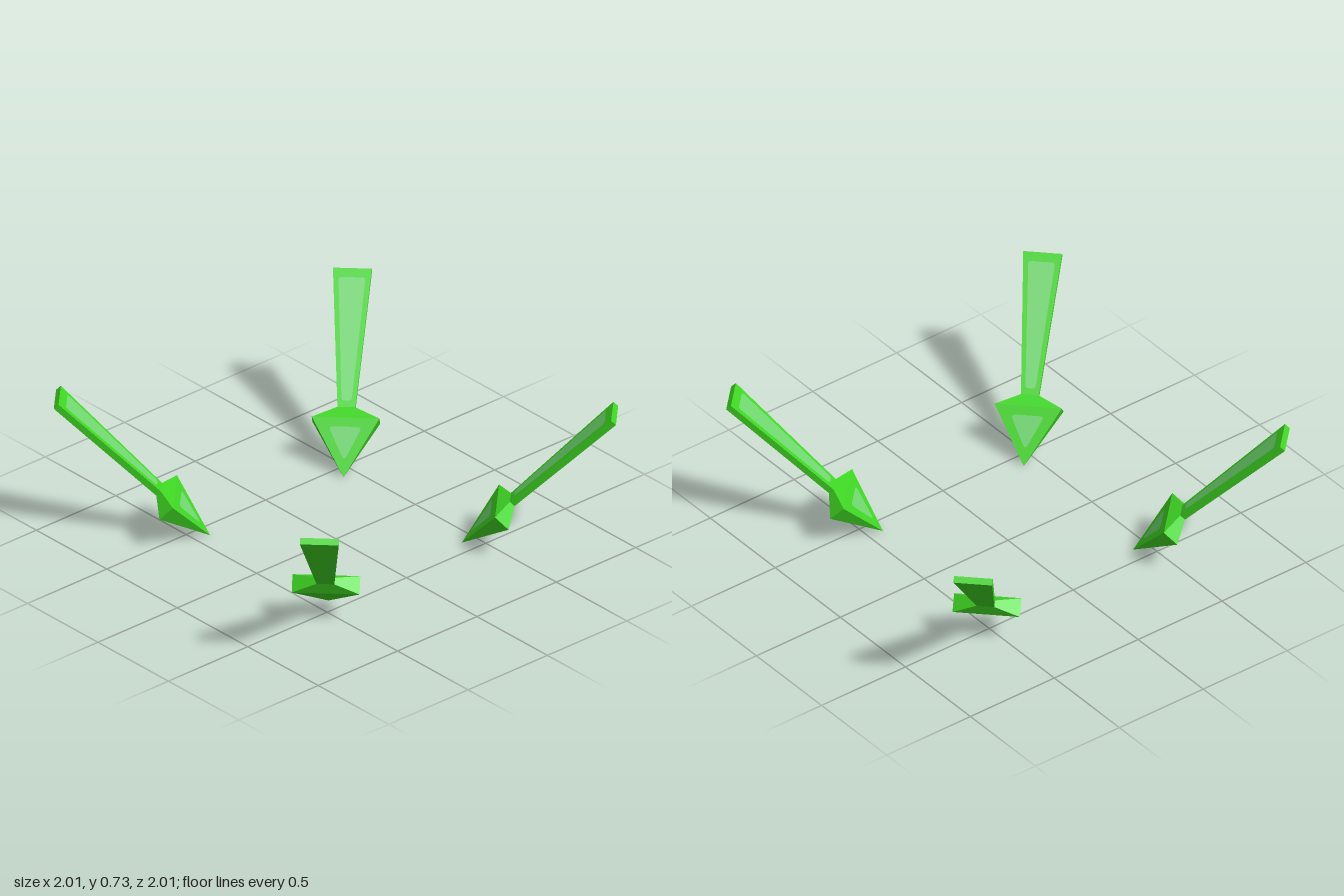
import * as THREE from 'three';

const green = new THREE.MeshStandardMaterial({ color: 0x3fd523 });
green.name = 'bright green';
const pale = new THREE.MeshStandardMaterial({ color: 0x6fd66f });
pale.name = 'pale green';

// Closed, flat-faced loft through rectangles [distance from tip, half width, half thickness]
function loft(sections) {
  const rings = sections.map(([s, t, n]) =>
    [[-t, s, -n], [-t, s, n], [t, s, n], [t, s, -n]]);
  const p = [];
  const quad = (a, b, c, d) => p.push(...a, ...b, ...c, ...a, ...c, ...d);
  for (let i = 0; i + 1 < rings.length; i++) {
    for (let k = 0; k < 4; k++) {
      const j = (k + 1) % 4, lo = rings[i], hi = rings[i + 1];
      if (sections[i][1] === 0) p.push(...lo[k], ...hi[j], ...hi[k]);
      else quad(lo[k], lo[j], hi[j], hi[k]);
    }
  }
  const [a, b, c, d] = rings[0];
  if (sections[0][1] > 0) quad(d, c, b, a);
  quad(...rings[rings.length - 1]);
  const g = new THREE.BufferGeometry();
  g.setAttribute('position', new THREE.Float32BufferAttribute(p, 3));
  g.computeVertexNormals();
  return g;
}

// Flat panel with rounded corners, laid just above the surface height(s)
function panel(corners, radius, height) {
  const pts = corners.map(([x, y]) => new THREE.Vector2(x, y));
  const shape = new THREE.Shape();
  pts.forEach((c, i) => {
    const toward = q => c.clone().add(q.clone().sub(c).setLength(radius));
    const a = toward(pts[(i + pts.length - 1) % pts.length]);
    const b = toward(pts[(i + 1) % pts.length]);
    if (i === 0) shape.moveTo(a.x, a.y);
    else shape.lineTo(a.x, a.y);
    shape.quadraticCurveTo(c.x, c.y, b.x, b.y);
  });
  shape.closePath();
  const g = new THREE.ShapeGeometry(shape, 4);
  const pos = g.attributes.position;
  for (let i = 0; i < pos.count; i++) pos.setZ(i, height(pos.getY(i)) + 0.002);
  g.computeVertexNormals();
  return g;
}

function add(parent, name, geometry, material) {
  const mesh = new THREE.Mesh(geometry, material);
  mesh.name = name;
  parent.add(mesh);
}

export function createModel() {
  const model = new THREE.Group();
  model.name = 'fourArrows';

  const head = loft([[0, 0, 0], [0.28, 0.16, 0.045], [0.34, 0.042, 0.016]]);
  const shaft = loft([[0.335, 0.042, 0.016], [1.02, 0.092, 0.016]]);
  const headPanel = panel([[0, 0.075], [0.08, 0.237], [-0.08, 0.237]], 0.025,
    s => s * 0.045 / 0.28);
  const shaftPanel = panel(
    [[0.024, 0.37], [0.064, 0.975], [-0.064, 0.975], [-0.024, 0.37]], 0.015,
    () => 0.016);

  // Each arrow slopes down at 45 degrees toward the middle
  const h = Math.SQRT1_2;
  const tilt = new THREE.Matrix4().makeBasis(
    new THREE.Vector3(-1, 0, 0), new THREE.Vector3(0, h, h), new THREE.Vector3(0, h, -h));

  for (let i = 0; i < 4; i++) {
    const arrow = new THREE.Group();
    arrow.name = 'arrow' + (i + 1);
    add(arrow, 'arrowHead', head, green);
    add(arrow, 'arrowShaft', shaft, green);
    add(arrow, 'headPanel', headPanel, pale);
    add(arrow, 'shaftPanel', shaftPanel, pale);
    arrow.quaternion.setFromRotationMatrix(tilt);
    arrow.position.z = 0.594;

    const corner = new THREE.Group();
    corner.name = 'corner' + (i + 1);
    corner.rotation.y = Math.PI / 4 + i * Math.PI / 2;
    corner.add(arrow);
    model.add(corner);
  }
  return model;
}
